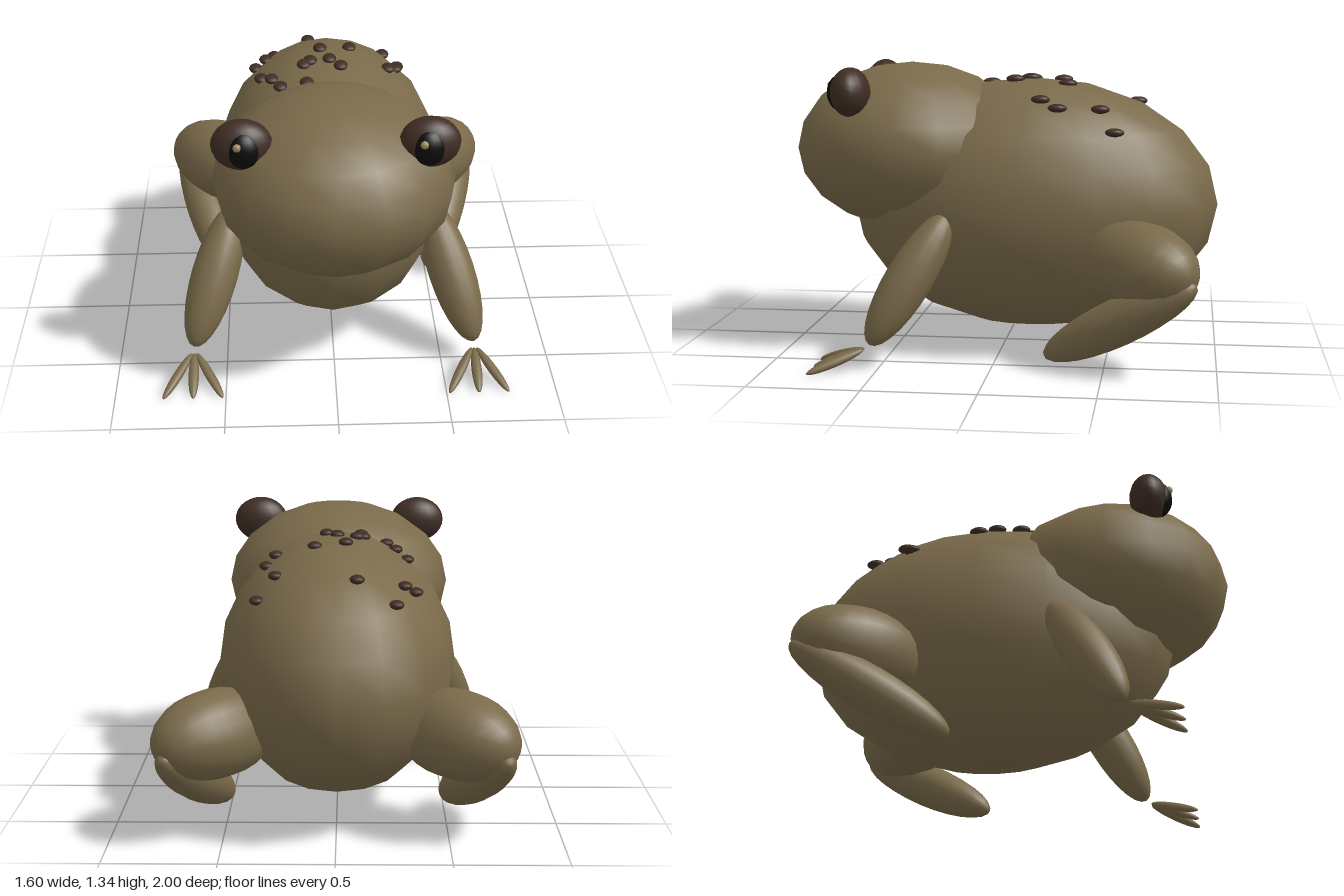
import * as THREE from 'three';

const material = (name, color) => {
  const m = new THREE.MeshStandardMaterial({ color });
  m.name = name;
  return m;
};

export function createModel() {
  const toad = new THREE.Group();
  toad.name = 'toad';
  const skin = material('olive skin', 0x7a6a4a);
  const brown = material('dark brown', 0x3f2d24);
  const black = material('pupil black', 0x0c0c0c);
  const glint = material('eye glint', 0x9c8860);

  const torsoBall = new THREE.SphereGeometry(1, 16, 10);
  const limbBall = new THREE.SphereGeometry(1, 18, 14);
  const wartBall = new THREE.SphereGeometry(1, 12, 8);

  // Ellipsoid with given centre and radii
  const ellipsoid = (name, geometry, mat, centre, radii) => {
    const mesh = new THREE.Mesh(geometry, mat);
    mesh.name = name;
    mesh.position.set(...centre);
    mesh.scale.set(...radii);
    toad.add(mesh);
    return mesh;
  };

  // Ellipsoid stretched between two tips
  const limb = (name, from, to, radius, thickness = radius) => {
    const a = new THREE.Vector3(...from);
    const b = new THREE.Vector3(...to);
    const axis = b.clone().sub(a);
    const mid = a.clone().add(b).multiplyScalar(0.5);
    const mesh = ellipsoid(name, limbBall, skin, mid.toArray(), [radius, axis.length() / 2, thickness]);
    mesh.quaternion.setFromUnitVectors(new THREE.Vector3(0, 1, 0), axis.normalize());
    return mesh;
  };

  // Torso and head
  const bodyCentre = [0, 0.68, -0.13];
  const bodyRadii = [0.55, 0.59, 0.87];
  ellipsoid('body', torsoBall, skin, bodyCentre, bodyRadii);
  ellipsoid('head', torsoBall, skin, [0, 0.945, 0.45], [0.54, 0.395, 0.55]);

  for (const [side, s] of [['left', 1], ['right', -1]]) {
    // Eyes
    ellipsoid(side + 'Eye', limbBall, brown, [s * 0.398, 1.22, 0.662], [0.132, 0.112, 0.09]);
    ellipsoid(side + 'Pupil', limbBall, black, [s * 0.39, 1.217, 0.7], [0.076, 0.086, 0.07]);
    ellipsoid(side + 'EyeGlint', wartBall, glint, [s * 0.39 - 0.025, 1.25, 0.759], [0.018, 0.018, 0.016]);

    // Front leg with three spread toes
    limb(side + 'FrontLeg', [s * 0.45, 0.685, 0.205], [s * 0.65, 0.115, 0.535], 0.107);
    for (const spread of [-1, 0, 1]) {
      limb(side + 'Toe', [s * (0.648 + spread * 0.012), 0.095, 0.56],
        [s * (0.648 + spread * 0.135), 0.008, 0.79], 0.024, 0.02);
    }

    // Folded hind leg
    limb(side + 'Thigh', [s * 0.30, 0.475, -0.42], [s * 0.76, 0.475, -0.88], 0.2);
    limb(side + 'Shin', [s * 0.74, 0.435, -0.905], [s * 0.51, 0.055, -0.235], 0.105);
  }

  // Warts resting on the back, as x and z
  const warts = [
    [-0.26, -0.66], [-0.09, -0.62], [-0.35, -0.47], [-0.3, -0.5], [0.27, -0.46], [0.35, -0.53],
    [-0.04, -0.27], [0.1, -0.3], [0.32, -0.27], [0.28, -0.19], [-0.32, -0.15], [-0.27, -0.07],
    [-0.12, -0.09], [-0.09, -0.12], [0, -0.12], [0.05, -0.05], [-0.23, 0.04], [-0.11, 0.08],
  ];
  for (const [x, z] of warts) {
    const u = x / bodyRadii[0];
    const v = (z - bodyCentre[2]) / bodyRadii[2];
    const y = bodyCentre[1] + bodyRadii[1] * Math.sqrt(1 - u * u - v * v);
    ellipsoid('wart', wartBall, brown, [x, y, z], [0.033, 0.02, 0.044]);
  }

  return toad;
}
